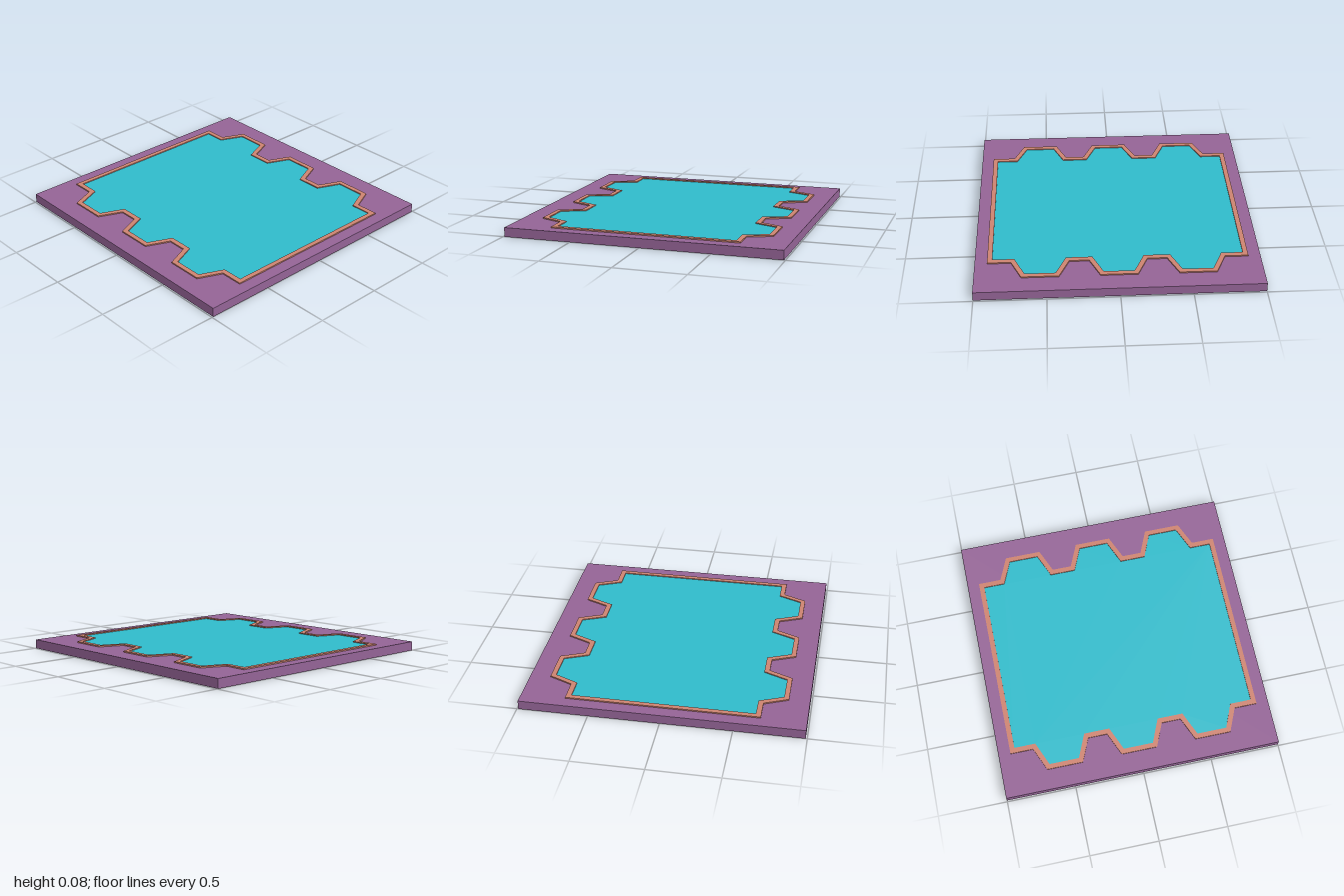
import * as THREE from 'three';

// Outline of the pool: a long rectangle with three tapered bays on each side.
function outlinePoints(rootX, tipX, endZ, tipHalf, rootHalf) {
  const side = [[rootX, -endZ]];
  for (const c of [-0.545, 0, 0.545]) {
    side.push([rootX, c - rootHalf], [tipX, c - tipHalf], [tipX, c + tipHalf], [rootX, c + rootHalf]);
  }
  side.push([rootX, endZ]);
  const mirrored = side.map(([x, z]) => [-x, z]).reverse();
  return [...side, ...mirrored].map(([x, z]) => new THREE.Vector2(x, z));
}

// Extrude a plan shape upward from bottom to top.
function slab(name, shape, bottom, top, color) {
  const geometry = new THREE.ExtrudeGeometry(shape, { depth: top - bottom, bevelEnabled: false });
  geometry.rotateX(-Math.PI / 2);
  geometry.translate(0, bottom, 0);
  const mesh = new THREE.Mesh(geometry, new THREE.MeshStandardMaterial({ color }));
  mesh.name = name;
  return mesh;
}

export function createModel() {
  const group = new THREE.Group();
  group.name = 'pool';

  const inner = outlinePoints(0.64, 0.81, 0.878, 0.107, 0.18);
  const outer = outlinePoints(0.677, 0.845, 0.913, 0.13, 0.203);

  // Paved ground slab
  const ground = new THREE.Mesh(
    new THREE.BoxGeometry(1.98, 0.066, 2),
    new THREE.MeshStandardMaterial({ color: 0x946496 })
  );
  ground.position.y = 0.033;
  ground.name = 'groundSlab';
  group.add(ground);

  // Raised rim around the water
  const rimShape = new THREE.Shape(outer);
  rimShape.holes.push(new THREE.Path(inner));
  group.add(slab('rim', rimShape, 0.064, 0.075, 0xcd8370));

  // Water surface, just above the slab and below the rim
  group.add(slab('water', new THREE.Shape(inner), 0.064, 0.068, 0x2fbbcb));

  return group;
}
